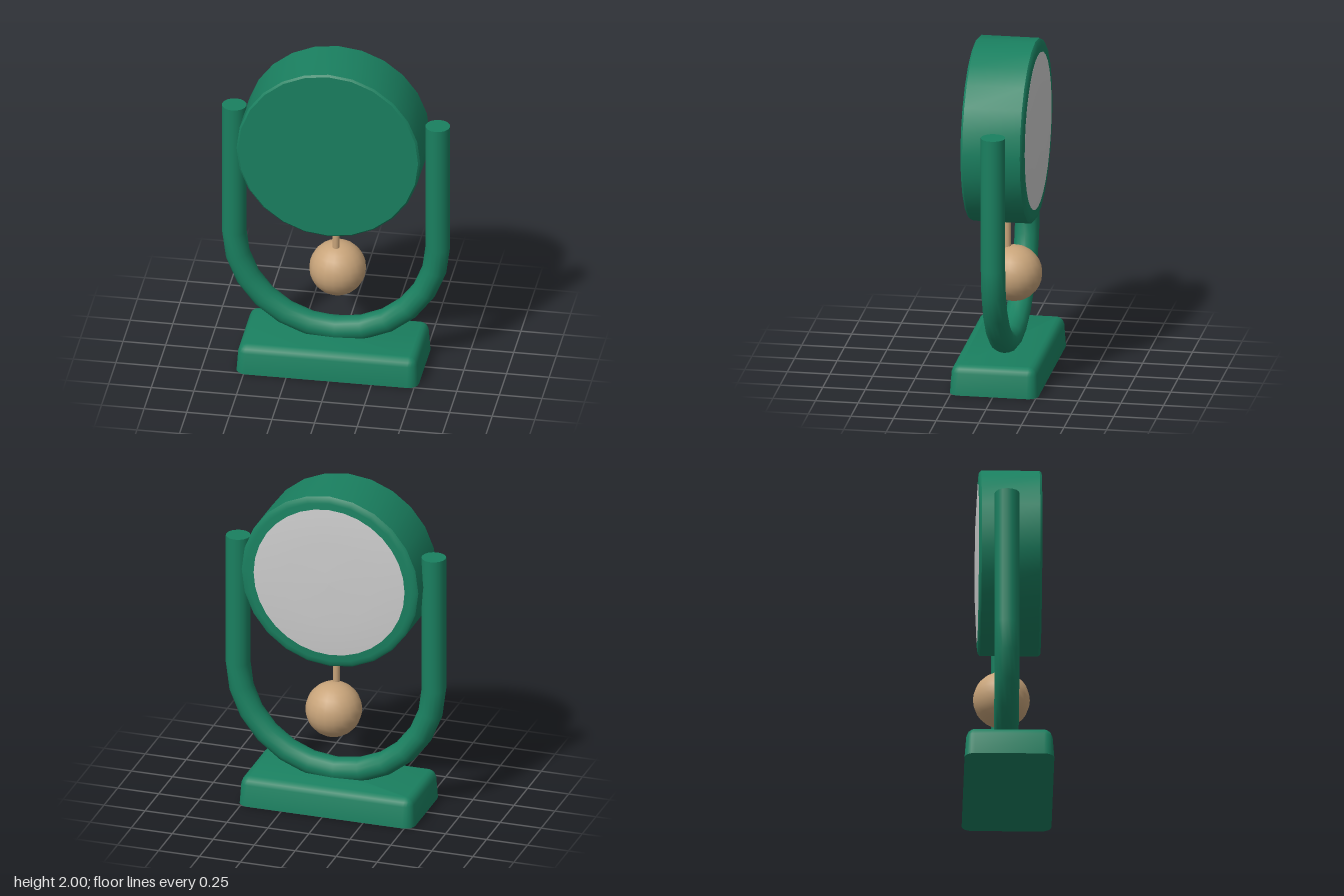
import * as THREE from 'three';
import { toCreasedNormals } from 'three/addons/utils/BufferGeometryUtils.js';

const green = new THREE.MeshStandardMaterial({ color: 0x1a8060 });
const wood = new THREE.MeshStandardMaterial({ color: 0xc8a47a });
const grey = new THREE.MeshStandardMaterial({ color: 0xcccccc, side: THREE.DoubleSide });

const v2 = ([x, y]) => new THREE.Vector2(x, y);

function add(parent, name, geometry, material, x = 0, y = 0, z = 0) {
  const mesh = new THREE.Mesh(geometry, material);
  mesh.name = name;
  mesh.position.set(x, y, z);
  parent.add(mesh);
  return mesh;
}

// Rounded rectangle slab built from stacked loops, each [height, inset]
function slab(halfX, halfZ, radius, levels, steps = 4) {
  const pos = [], index = [], n = 4 * (steps + 1);
  for (const [y, inset] of levels) {
    for (let i = 0; i < n; i++) {
      const corner = Math.floor(i / (steps + 1));
      const a = (corner + (i % (steps + 1)) / steps) * Math.PI / 2;
      const sx = corner === 0 || corner === 3 ? 1 : -1;
      const sz = corner < 2 ? 1 : -1;
      const r = Math.max(radius - inset, 0.01);
      pos.push(sx * (halfX - inset - r) + r * Math.cos(a), y,
        sz * (halfZ - inset - r) + r * Math.sin(a));
    }
  }
  for (let l = 0; l < levels.length - 1; l++) {
    for (let i = 0; i < n; i++) {
      const a = l * n + i, b = l * n + (i + 1) % n;
      index.push(a, a + n, b, b, a + n, b + n);
    }
  }
  const top = (levels.length - 1) * n;
  for (let i = 1; i < n - 1; i++) {
    index.push(0, i, i + 1, top, top + i + 1, top + i);
  }
  const g = new THREE.BufferGeometry();
  g.setAttribute('position', new THREE.Float32BufferAttribute(pos, 3));
  g.setIndex(index);
  return toCreasedNormals(g, 0.8);
}

export function createModel() {
  const model = new THREE.Group();
  model.name = 'swivelDrumStand';

  // Base block with softened top edge
  add(model, 'base', slab(0.535, 0.26, 0.06,
    [[0, 0], [0.13, 0.01], [0.155, 0.02], [0.168, 0.035], [0.175, 0.055]]),
    green, -0.015, 0, 0);

  // U-shaped yoke: two posts joined by a half circle
  const tubeR = 0.072, bend = 0.597, bendY = 0.8;
  const yoke = new THREE.Group();
  yoke.name = 'yoke';
  yoke.position.set(-0.003, 0, -0.015);
  model.add(yoke);
  const half = new THREE.TorusGeometry(bend, tubeR, 16, 12, Math.PI);
  half.rotateZ(Math.PI);
  add(yoke, 'yokeBend', half, green, 0, bendY, 0);
  for (const [name, side, top] of [['leftPost', 1, 1.605], ['rightPost', -1, 1.635]]) {
    add(yoke, name, new THREE.CylinderGeometry(tubeR, tubeR, top - bendY, 16),
      green, side * bend, (top + bendY) / 2, 0);
  }

  // Drum: short cylinder with a fine bevel, lying on its side
  const drum = new THREE.Group();
  drum.name = 'drum';
  drum.position.set(-0.015, 1.46, 0);
  model.add(drum);
  const shell = new THREE.LatheGeometry([[0, -0.176], [0.5, -0.176], [0.525, -0.172],
    [0.539, -0.16], [0.539, 0.178], [0.528, 0.19], [0, 0.19]].map(v2), 24);
  shell.rotateX(Math.PI / 2);
  add(drum, 'drumShell', toCreasedNormals(shell, 0.7), green);

  // Slightly domed disc on the back of the drum
  const disc = new THREE.LatheGeometry(
    [[0, -0.192], [0.255, -0.189], [0.46, -0.178], [0.46, -0.17]].map(v2), 32);
  disc.rotateX(Math.PI / 2);
  add(drum, 'backDisc', disc, grey);

  // Ball hanging on a rod under the drum
  add(model, 'pendulumRod', new THREE.CylinderGeometry(0.021, 0.021, 0.3, 12), wood, 0, 0.85, 0);
  add(model, 'pendulumBall', new THREE.SphereGeometry(0.165, 20, 14), wood, 0.003, 0.595, -0.038);

  return model;
}
